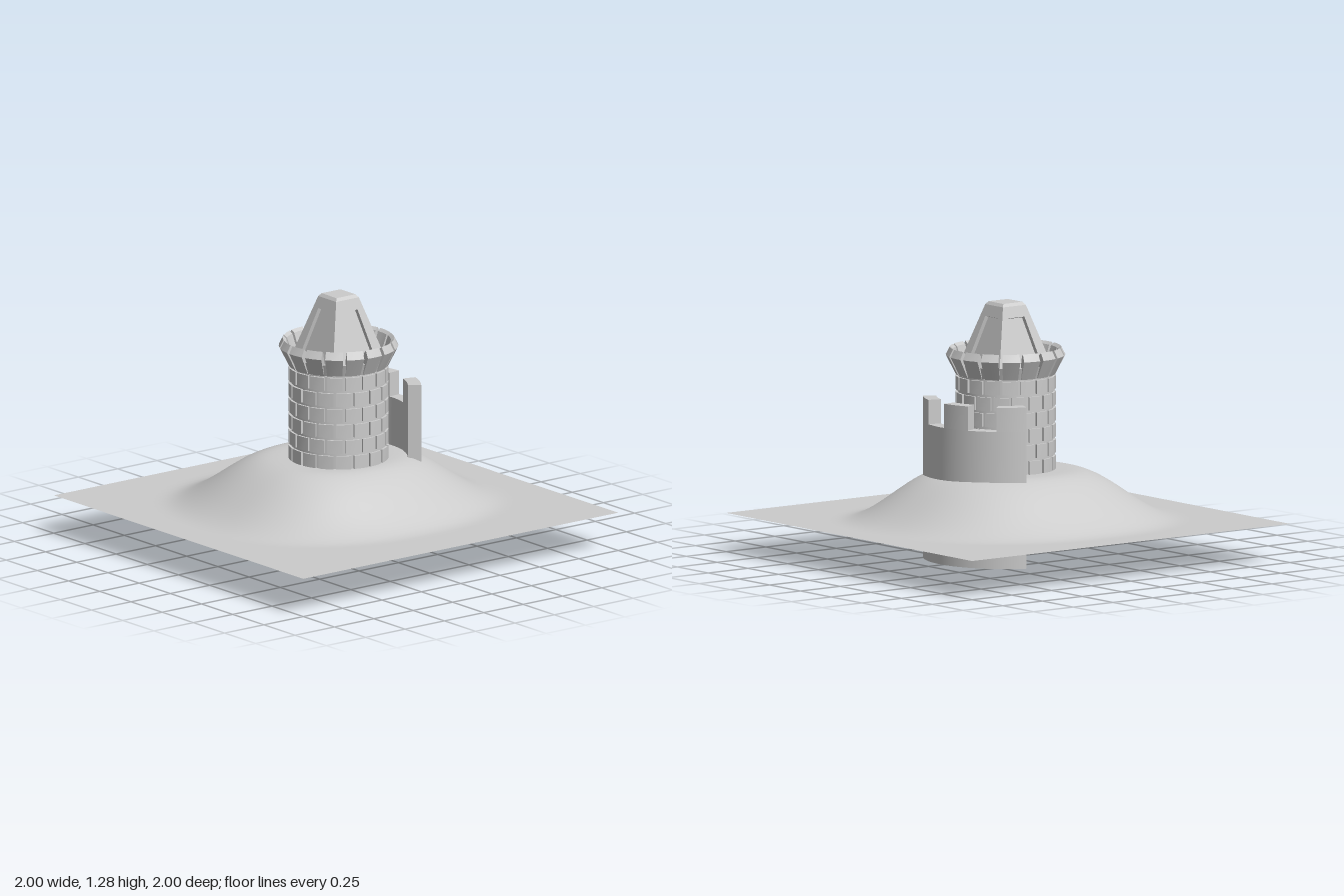
import * as THREE from 'three';
import { mergeGeometries, toCreasedNormals } from 'three/addons/utils/BufferGeometryUtils.js';

const DEG = Math.PI / 180;
const CENTER_X = 0.02;
const COUNT = 17; // stones per ring
const FLOOR = 0.925; // tower top

function material(extra = {}) {
  return new THREE.MeshStandardMaterial({ color: 0xcccccc, ...extra });
}

function mesh(name, geometry, extra) {
  const m = new THREE.Mesh(geometry, material(extra));
  m.name = name;
  return m;
}

// Sweeps a counter-clockwise (radius, y) profile around the y axis from a0 to a1, with end caps
function sector(profile, a0, a1, steps = 1) {
  const pos = [];
  const n = profile.length;
  const point = (i, a) => {
    const [r, y] = profile[i % n];
    return [r * Math.sin(a), y, r * Math.cos(a)];
  };
  const tri = (a, b, c) => pos.push(...a, ...b, ...c);
  for (let s = 0; s < steps; s++) {
    const a = a0 + ((a1 - a0) * s) / steps;
    const b = a0 + ((a1 - a0) * (s + 1)) / steps;
    for (let i = 0; i < n; i++) {
      tri(point(i, a), point(i, b), point(i + 1, b));
      tri(point(i, a), point(i + 1, b), point(i + 1, a));
    }
  }
  for (let i = 1; i < n - 1; i++) {
    tri(point(0, a0), point(i, a0), point(i + 1, a0));
    tri(point(0, a1), point(i + 1, a1), point(i, a1));
  }
  const g = new THREE.BufferGeometry();
  g.setAttribute('position', new THREE.Float32BufferAttribute(pos, 3));
  g.computeVertexNormals();
  return toCreasedNormals(g, 0.5);
}

const rect = (r0, r1, y0, y1) => [[r0, y0], [r1, y0], [r1, y1], [r0, y1]];

// Ring of equal stones with gaps between them
function stoneRing(profile, offset, fill) {
  const step = (2 * Math.PI) / COUNT;
  const stones = [];
  for (let i = 0; i < COUNT; i++) {
    const mid = offset + i * step;
    stones.push(sector(profile, mid - (step * fill) / 2, mid + (step * fill) / 2, 2));
  }
  return mergeGeometries(stones);
}

// Smooth mound rising from a flat square
function buildGround() {
  const g = new THREE.PlaneGeometry(2, 2, 48, 48).rotateX(-Math.PI / 2);
  const p = g.attributes.position;
  for (let i = 0; i < p.count; i++) {
    const x = p.getX(i), z = p.getZ(i);
    const u = Math.abs(x) / (x > 0 ? 0.92 : 1.03);
    const v = Math.abs(z) / (z > 0 ? 1.05 : 1.07);
    const d = Math.pow(Math.pow(u, 2.3) + Math.pow(v, 2.3), 1 / 2.3);
    p.setY(i, 0.445 - 0.25 * THREE.MathUtils.smoothstep(d, 0.3, 0.8));
  }
  g.computeVertexNormals();
  return mesh('ground', g, { side: THREE.DoubleSide });
}

function buildTower() {
  const tower = new THREE.Group();
  tower.name = 'tower';
  const bottom = 0.28;
  const core = new THREE.CylinderGeometry(0.238, 0.238, FLOOR - bottom, 68, 1, true);
  core.translate(0, (FLOOR + bottom) / 2, 0);
  tower.add(mesh('towerCore', core, { side: THREE.DoubleSide }));
  const floor = new THREE.CircleGeometry(0.25, 68).rotateX(-Math.PI / 2).translate(0, FLOOR, 0);
  tower.add(mesh('towerFloor', floor, { side: THREE.DoubleSide }));

  // Staggered courses of raised bricks
  const rows = 8;
  const h = (FLOOR - bottom) / rows;
  const half = Math.PI / COUNT;
  for (let r = 0; r < rows; r++) {
    const y = bottom + r * h;
    const ring = stoneRing(rect(0.232, 0.25, y + 0.004, y + h - 0.009), 5 * DEG + (r % 2 ? 0 : half), 0.84);
    tower.add(mesh('brickCourse', ring));
  }

  // Flared crown: a low backing ring and outward-leaning merlons
  const backing = [[0.236, FLOOR], [0.246, FLOOR], [0.268, 0.985], [0.25, 0.985]];
  tower.add(mesh('crownBacking', sector(backing, 0, 2 * Math.PI, 68)));
  const merlon = [[0.228, 0.94], [0.25, FLOOR], [0.298, 1.02], [0.278, 1.058], [0.262, 1.045]];
  tower.add(mesh('crownMerlons', stoneRing(merlon, 5 * DEG, 0.82)));
  return tower;
}

// Four-sided frustum with faces square to the axes
function frustum(halfTop, halfBottom, y0, y1) {
  const g = new THREE.CylinderGeometry(halfTop * Math.SQRT2, halfBottom * Math.SQRT2, y1 - y0, 4, 1);
  return g.rotateY(Math.PI / 4).translate(0, (y0 + y1) / 2, 0);
}

function buildRoof() {
  const roof = new THREE.Group();
  roof.name = 'roof';
  const wide = 0.178, narrow = 0.072, top = 1.27, depth = 0.025;
  const rise = top - FLOOR, run = wide - narrow;
  const length = Math.hypot(rise, run);

  // Framed face with a tapered panel opening, extruded inward
  const shape = new THREE.Shape();
  shape.moveTo(-wide, 0).lineTo(wide, 0).lineTo(narrow, length).lineTo(-narrow, length).closePath();
  const opening = new THREE.Path();
  opening.moveTo(-0.108, 0.03).lineTo(-0.05, 0.303).lineTo(0.05, 0.303).lineTo(0.108, 0.03).closePath();
  shape.holes.push(opening);
  const face = new THREE.ExtrudeGeometry(shape, { depth, bevelEnabled: false });
  face.translate(0, 0, -depth).rotateX(-Math.atan2(run, rise)).translate(0, FLOOR, wide);
  for (let i = 0; i < 4; i++) {
    roof.add(mesh('roofFrame', face.clone().rotateY((i * Math.PI) / 2)));
  }
  // Recessed panels and bevelled cap
  roof.add(mesh('roofPanels', frustum(narrow - 0.022, wide - 0.022, FLOOR, top), { flatShading: true }));
  roof.add(mesh('roofCap', frustum(0.06, narrow, top, 1.285), { flatShading: true }));
  return roof;
}

// Curved battlement behind the tower
function buildWall() {
  const wall = new THREE.Group();
  wall.name = 'curvedWall';
  const a0 = 142.7 * DEG, a1 = 247 * DEG;
  const part = (a1 - a0) / 5;
  wall.add(mesh('wallBody', sector(rect(0.345, 0.412, 0, 0.69), a0, a1, 30)));
  for (const i of [0, 2, 4]) {
    const start = a0 + i * part;
    wall.add(mesh('wallMerlon', sector(rect(0.345, 0.412, 0.69, 0.812), start, start + part, 6)));
  }
  return wall;
}

export function createModel() {
  const model = new THREE.Group();
  model.name = 'hilltopTower';
  const castle = new THREE.Group();
  castle.name = 'castle';
  castle.add(buildTower(), buildRoof(), buildWall());
  castle.position.x = CENTER_X;
  model.add(buildGround(), castle);
  return model;
}
